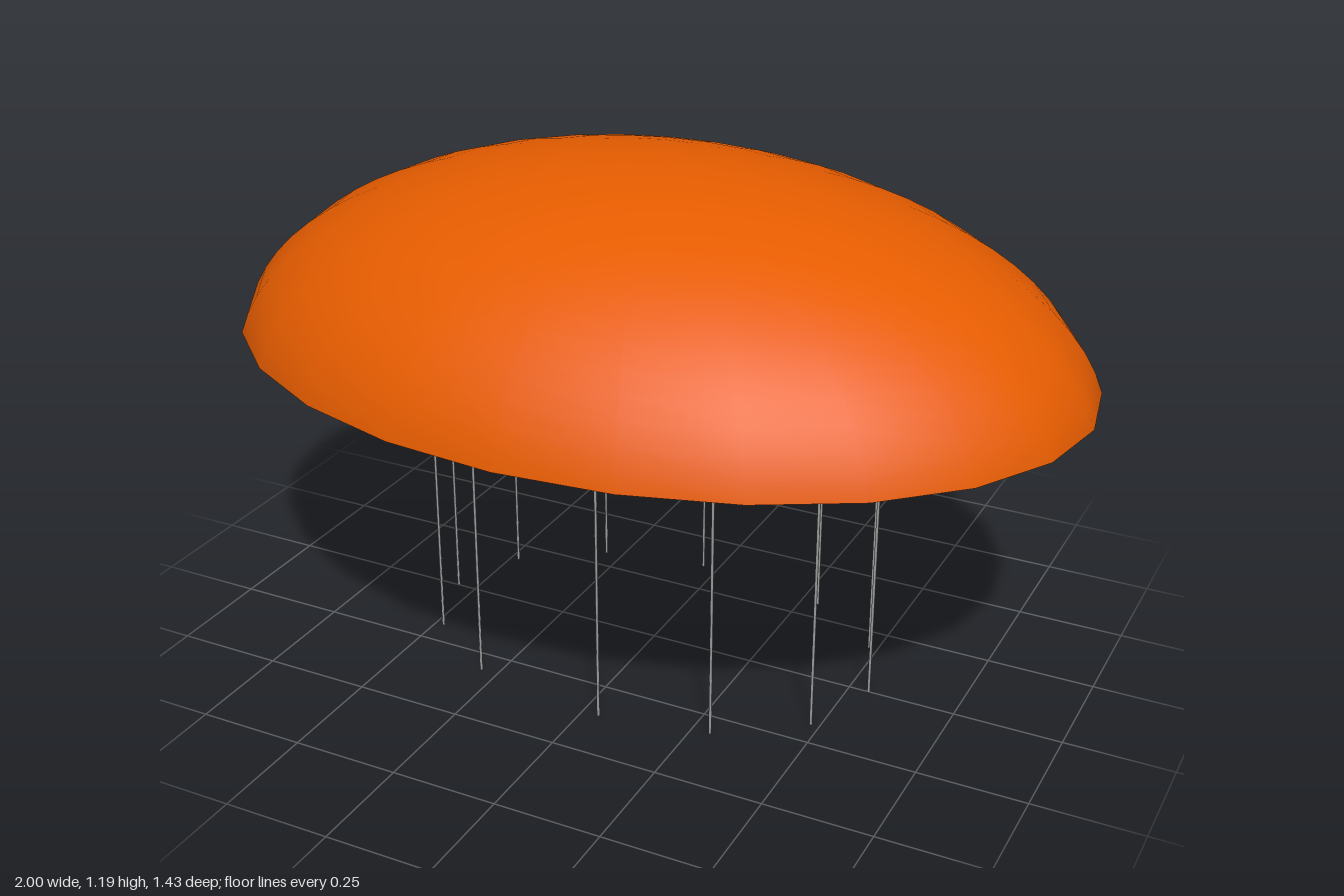
import * as THREE from 'three';

export function createModel() {
  const model = new THREE.Group();
  const canopyOrange = new THREE.MeshStandardMaterial({ color: 0xe65c00, side: THREE.DoubleSide });
  const cordGrey = new THREE.MeshStandardMaterial({ color: 0x9f9f9f });

  // Open oval dome: the cap of a flattened, stretched sphere, cut a little above its middle
  const capAngle = Math.PI * 0.45;
  const domeGeometry = new THREE.SphereGeometry(1, 24, 16, 0, Math.PI * 2, 0, capAngle);
  domeGeometry.scale(1.0125, 0.512, 0.723);
  const canopy = new THREE.Mesh(domeGeometry, canopyOrange);
  canopy.name = 'canopy';
  canopy.position.y = 0.759 - 0.512 * Math.cos(capAngle);
  model.add(canopy);

  // Ring of twelve thin hanging cords, the two halves set slightly apart
  const cords = new THREE.Group();
  cords.name = 'cords';
  const cordLength = 0.722;
  const cordGeometry = new THREE.CylinderGeometry(0.0034, 0.0034, cordLength, 6);
  for (let i = 0; i < 12; i++) {
    const angle = (i / 12) * Math.PI * 2;
    const side = i <= 3 || i > 9 ? 1 : -1;
    const cord = new THREE.Mesh(cordGeometry, cordGrey);
    cord.name = 'cord';
    cord.position.set(0.507 * Math.cos(angle) + side * 0.04, cordLength / 2, 0.361 * Math.sin(angle));
    cords.add(cord);
  }
  model.add(cords);

  return model;
}
